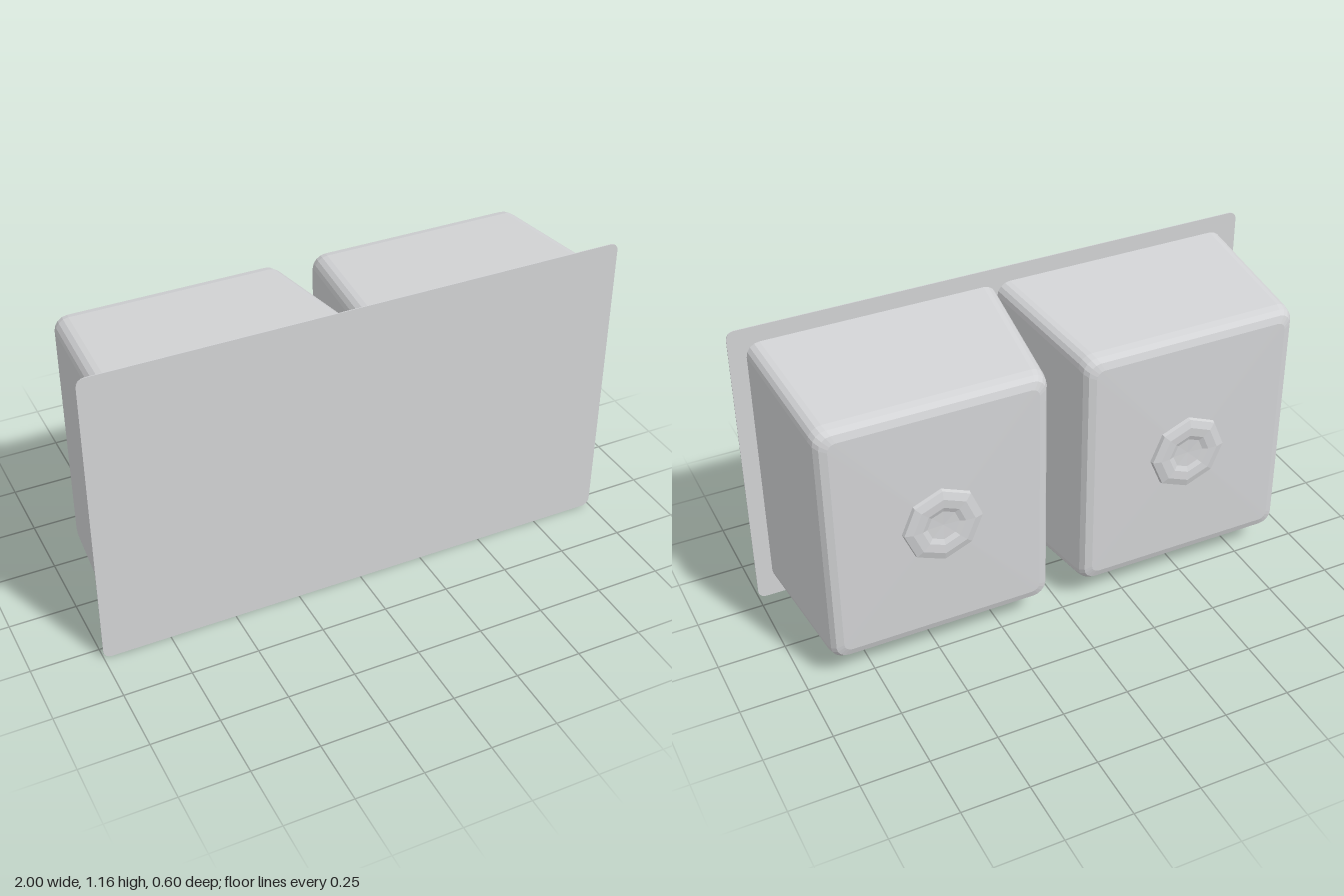
import * as THREE from 'three';

const STEPS = 4; // segments per rounded corner

// Counter-clockwise rounded rectangle outline
function roundedRect(x0, x1, y0, y1, r) {
  const pts = [];
  const corners = [[x1 - r, y0 + r, -0.5], [x1 - r, y1 - r, 0], [x0 + r, y1 - r, 0.5], [x0 + r, y0 + r, 1]];
  for (const [cx, cy, turn] of corners) {
    for (let i = 0; i <= STEPS; i++) {
      const a = Math.PI * (turn + 0.5 * i / STEPS);
      pts.push(new THREE.Vector2(cx + r * Math.cos(a), cy + r * Math.sin(a)));
    }
  }
  return pts;
}

// Tapered bowl shell lofted from the rim to a slightly domed base
function bowlGeometry(side) {
  // z, inner x, outer x, low y, high y, corner radius
  const sections = [
    [0.3, 0.002, 0.937, 0.064, 1.1, 0.05],
    [-0.218, 0.064, 0.907, 0.098, 1.066, 0.05],
    [-0.245, 0.069, 0.902, 0.103, 1.06, 0.05],
    [-0.264, 0.082, 0.888, 0.116, 1.047, 0.045],
    [-0.273, 0.108, 0.862, 0.144, 1.021, 0.03],
  ];
  const pos = [], index = [];
  for (const [z, a, b, y0, y1, r] of sections) {
    const [x0, x1] = side > 0 ? [a, b] : [-b, -a];
    for (const p of roundedRect(x0, x1, y0, y1, r)) pos.push(p.x, p.y, z);
  }
  const n = 4 * (STEPS + 1);
  for (let k = 0; k < sections.length - 1; k++) {
    for (let i = 0; i < n; i++) {
      const j = (i + 1) % n, a = k * n, b = a + n;
      index.push(a + i, b + i, a + j, a + j, b + i, b + j);
    }
  }
  // Base closes on a centre point
  const last = (sections.length - 1) * n, centre = pos.length / 3;
  pos.push(side * 0.485, 0.582, -0.281);
  for (let i = 0; i < n; i++) index.push(centre, last + (i + 1) % n, last + i);

  const geo = new THREE.BufferGeometry();
  geo.setAttribute('position', new THREE.Float32BufferAttribute(pos, 3));
  geo.setIndex(index);
  geo.computeVertexNormals();
  return geo;
}

// Low octagonal drain fitting with a shallow dished centre
function drainGeometry() {
  const profile = [[0.15, 0.272], [0.145, 0.292], [0.115, 0.3], [0.08, 0.298], [0.06, 0.29], [0, 0.287]]
    .map(([r, h]) => new THREE.Vector2(r, h));
  const geo = new THREE.LatheGeometry(profile, 8);
  geo.rotateX(-Math.PI / 2);
  return geo;
}

export function createModel() {
  const model = new THREE.Group();
  model.name = 'doubleSink';
  const steel = new THREE.MeshStandardMaterial({ color: 0xd2d3d5, side: THREE.DoubleSide, flatShading: true });
  steel.name = 'steelGrey';

  const add = (name, geo, parent) => {
    const mesh = new THREE.Mesh(geo, steel);
    mesh.name = name;
    parent.add(mesh);
    return mesh;
  };

  // Thin rounded plate across the front
  const plate = new THREE.Shape(roundedRect(-1, 1, 0, 1.163, 0.03));
  add('rimPlate', new THREE.ExtrudeGeometry(plate, { depth: 0.003, bevelEnabled: false }), model)
    .position.z = 0.297;

  // Matching bowls with their drains
  for (const side of [1, -1]) {
    const bowl = new THREE.Group();
    bowl.name = side > 0 ? 'leftBowl' : 'rightBowl';
    add('bowlShell', bowlGeometry(side), bowl);
    add('drain', drainGeometry(), bowl).position.set(side * 0.48, 0.582, 0);
    model.add(bowl);
  }
  return model;
}
